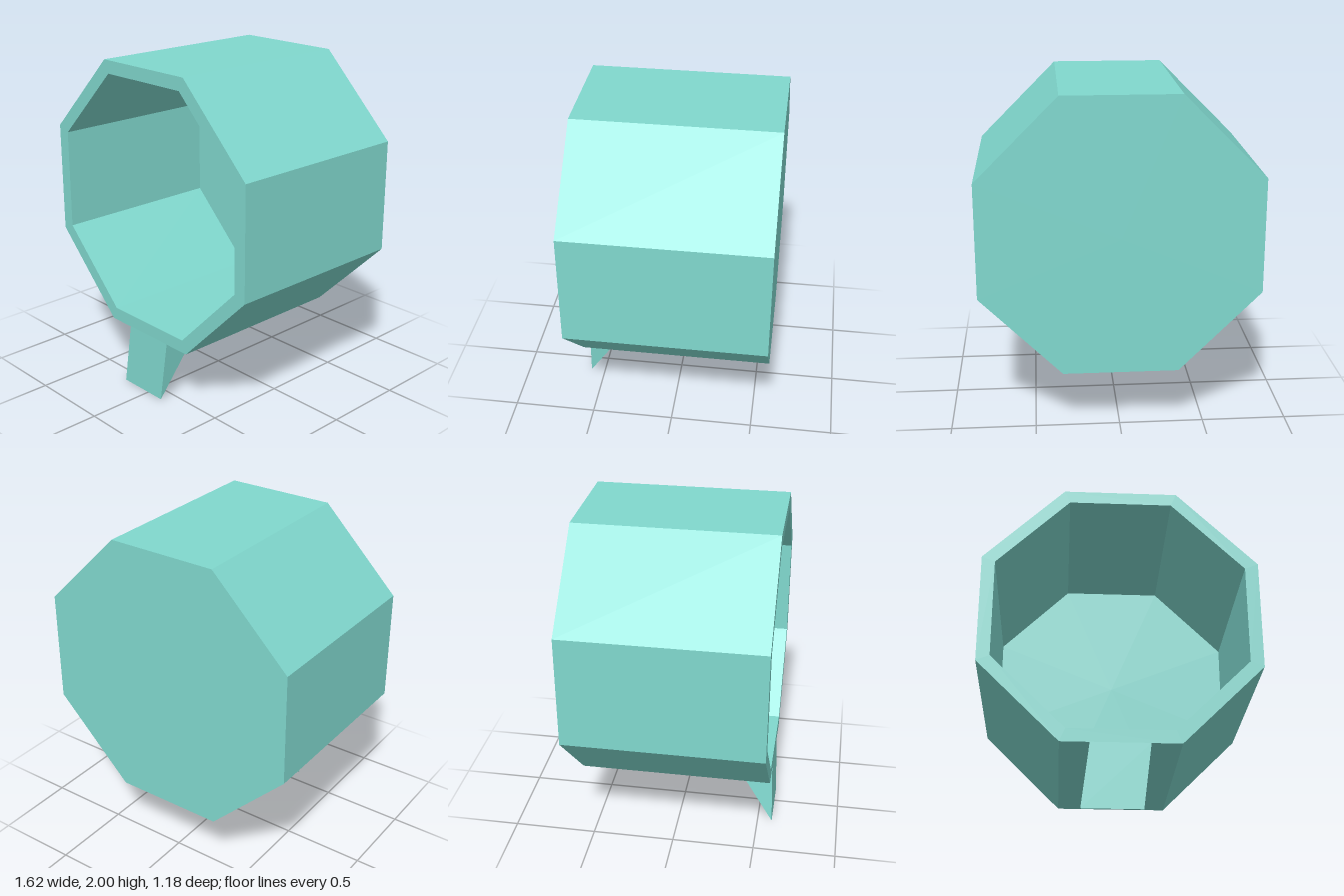
import * as THREE from 'three';

const material = new THREE.MeshStandardMaterial({ color: 0x80d8ce, flatShading: true });

function addPart(group, name, geometry) {
  const flat = geometry.index ? geometry.toNonIndexed() : geometry;
  flat.computeVertexNormals();
  const mesh = new THREE.Mesh(flat, material);
  mesh.name = name;
  group.add(mesh);
  return mesh;
}

export function createModel() {
  const group = new THREE.Group();
  group.name = 'octagonalCup';

  // Octagonal cup lying on its side, open towards +z, with wall and floor thickness
  const corner = 1 / Math.cos(Math.PI / 8); // flat distance to corner radius
  const outer = 0.811 * corner, inner = 0.733 * corner;
  const back = -0.59, front = 0.575, floor = -0.515;
  const profile = [
    [0, back], [outer, back], [outer, front],
    [inner, front], [inner, floor], [0, floor],
  ].map(([r, h]) => new THREE.Vector2(r, h));
  const cup = new THREE.LatheGeometry(profile, 8, Math.PI / 8);
  cup.rotateX(Math.PI / 2);
  addPart(group, 'cup', cup).position.y = 1.19;

  // Wedge-shaped foot under the rim: triangular side profile (z, y) extruded along x
  const side = new THREE.Shape([
    new THREE.Vector2(0.59, 0),
    new THREE.Vector2(0.575, 0.38),
    new THREE.Vector2(0.345, 0.38),
  ]);
  const foot = new THREE.ExtrudeGeometry(side, { depth: 0.335, bevelEnabled: false });
  foot.rotateY(-Math.PI / 2);
  foot.translate(0.165, 0, 0);
  // Lean the foot sideways towards -x at the bottom
  const p = foot.attributes.position;
  for (let i = 0; i < p.count; i++) p.setX(i, p.getX(i) + 0.12 * (p.getY(i) - 0.38));
  addPart(group, 'foot', foot);

  return group;
}
